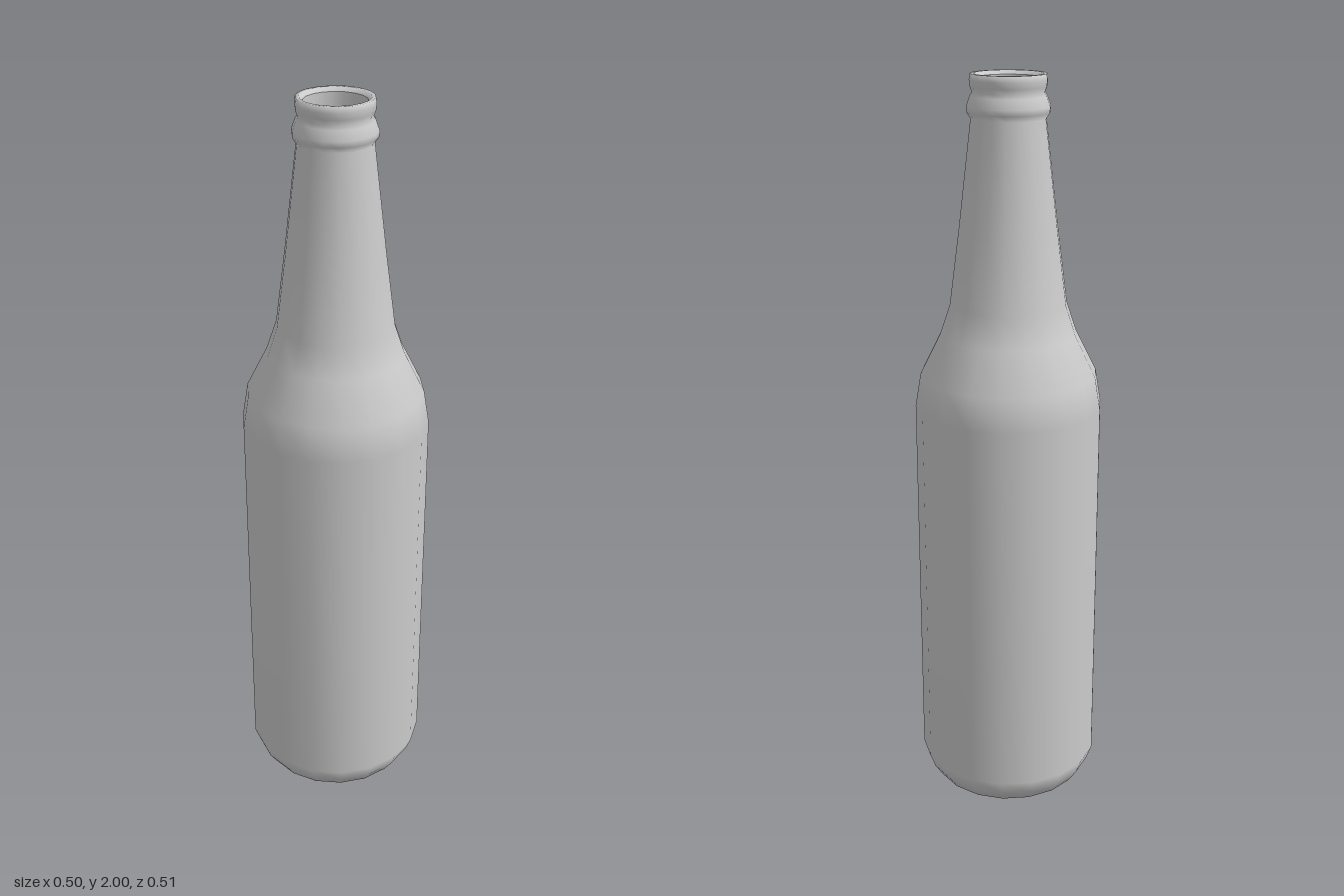
import * as THREE from 'three';

const SIDES = 18;

// Turns a [radius, height] profile around the y axis
function turned(name, profile, material) {
  const points = profile.map(([r, y]) => new THREE.Vector2(r, y));
  const mesh = new THREE.Mesh(new THREE.LatheGeometry(points, SIDES), material);
  mesh.name = name;
  return mesh;
}

export function createModel() {
  const group = new THREE.Group();
  group.name = 'bottle';
  const material = new THREE.MeshStandardMaterial({ color: 0xcccccc, side: THREE.DoubleSide });

  // Outer shell: base, straight body, shoulder, tapering neck, collar and lip
  group.add(turned('outerShell', [
    [0, 0.012], [0.19, 0.008], [0.215, 0],
    [0.238, 0.035], [0.253, 0.075], [0.253, 1.13],
    [0.238, 1.22], [0.183, 1.33], [0.156, 1.41],
    [0.13, 1.61], [0.097, 1.89],
    [0.107, 1.905], [0.108, 1.92], [0.099, 1.945],
    [0.093, 1.955], [0.098, 1.968], [0.1, 1.985], [0.098, 2],
    [0.088, 2], [0.08, 1.99],
  ], material));

  // Inner wall, from the mouth down to the floor
  group.add(turned('innerWall', [
    [0.08, 1.99], [0.08, 1.89], [0.112, 1.61], [0.138, 1.41],
    [0.165, 1.32], [0.22, 1.21], [0.235, 1.13],
    [0.235, 0.08], [0.2, 0.03], [0, 0.03],
  ], material));

  return group;
}
